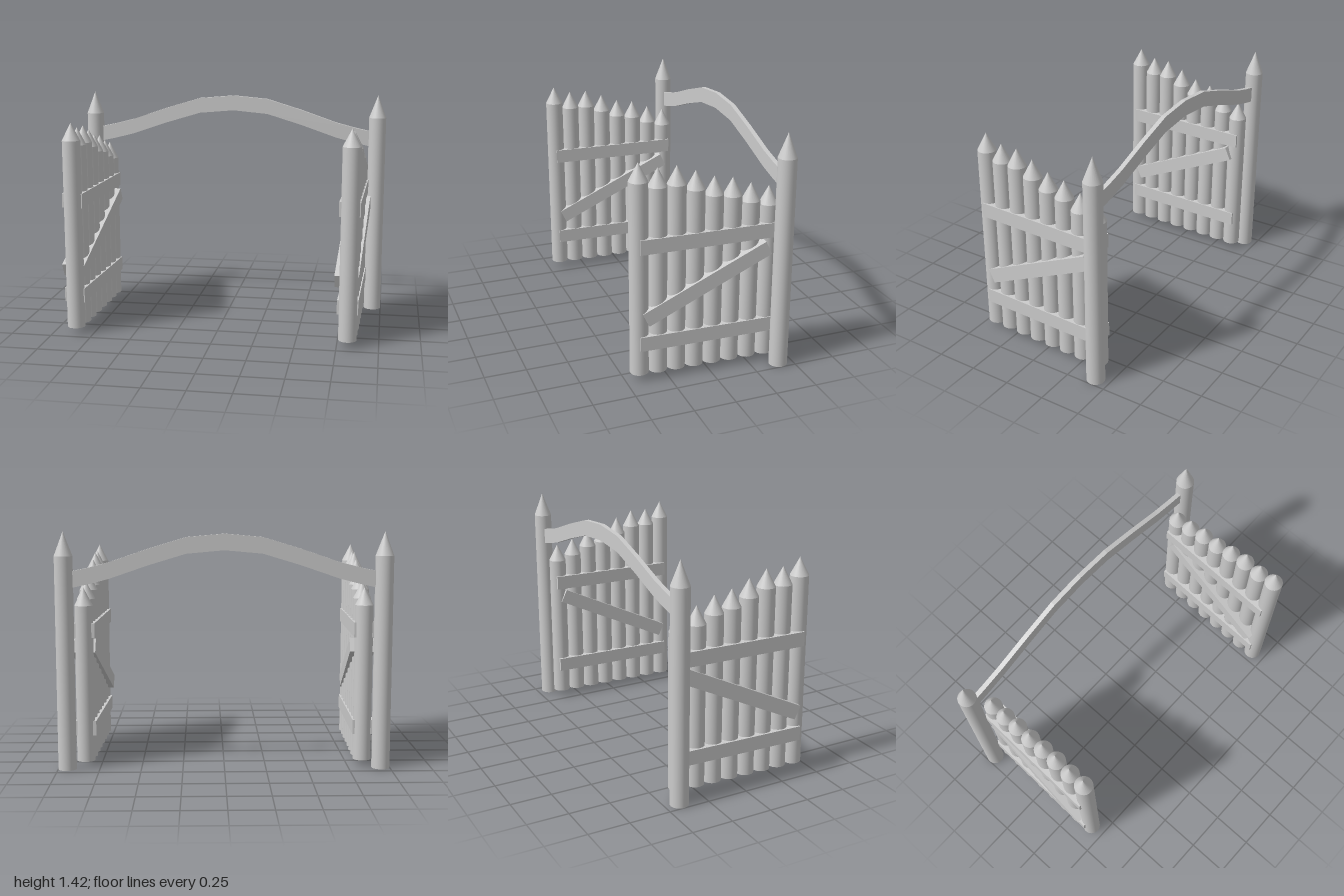
import * as THREE from 'three';

const material = new THREE.MeshStandardMaterial({ color: 0xcccccc });

function addMesh(parent, geometry, name) {
  const mesh = new THREE.Mesh(geometry, material);
  mesh.name = name;
  parent.add(mesh);
  return mesh;
}

// Round stake with a pointed top, standing on bottom
function addStake(parent, name, x, z, bottom, shoulder, tip) {
  const stake = new THREE.Group();
  stake.name = name;
  stake.position.set(x, 0, z);
  parent.add(stake);
  const radius = 0.055, sides = 24;
  const shaft = addMesh(stake, new THREE.CylinderGeometry(radius, radius, shoulder - bottom, sides), 'shaft');
  shaft.position.y = (shoulder + bottom) / 2;
  const point = addMesh(stake, new THREE.ConeGeometry(radius, tip - shoulder, sides, 1, true), 'point');
  point.position.y = (tip + shoulder) / 2;
}

// Rectangular board running from one end point to the other
function addBoard(parent, name, start, end, thickness, height) {
  const board = addMesh(parent, new THREE.BoxGeometry(thickness, height, start.distanceTo(end)), name);
  board.position.copy(start).add(end).multiplyScalar(0.5);
  board.lookAt(end);
}

// Open gate leaf: eight pickets, two rails and a diagonal brace
function createGate() {
  const gate = new THREE.Group();
  const tips = [1.31, 1.27, 1.27, 1.23, 1.185, 1.165, 1.12, 1.09];
  const lineX = (z) => -0.03 * z;
  tips.forEach((tip, i) => {
    const z = 0.412 - i * 0.1105;
    addStake(gate, 'picket', lineX(z), z, 0.042, tip - 0.106, tip);
  });
  for (const y of [0.243, 0.836]) {
    addBoard(gate, 'rail',
      new THREE.Vector3(lineX(-0.39) - 0.003, y, -0.39),
      new THREE.Vector3(lineX(0.42) - 0.003, y, 0.42), 0.127, 0.088);
  }
  addBoard(gate, 'brace',
    new THREE.Vector3(0.018, 0.74, -0.343),
    new THREE.Vector3(-0.025, 0.39, 0.385), 0.145, 0.088);
  return gate;
}

// Bowed plank between the posts
function createBeam() {
  const half = [[0, 1.41], [0.225, 1.39], [0.45, 1.322], [0.68, 1.243], [0.8, 1.212], [0.925, 1.185]];
  const top = [...half.slice(1).reverse().map(([x, y]) => [-x, y]), ...half];
  const bottom = top.map(([x, y]) => [x, y - 0.097]).reverse();
  const outline = [...top, ...bottom].map(([x, y]) => new THREE.Vector2(x, y));
  const geometry = new THREE.ExtrudeGeometry(new THREE.Shape(outline), { depth: 0.028, bevelEnabled: false });
  geometry.translate(0, 0, -0.426);
  return geometry;
}

export function createModel() {
  const model = new THREE.Group();
  model.name = 'palisadeGate';
  for (const [side, label] of [[-1, 'right'], [1, 'left']]) {
    addStake(model, label + 'Post', side * 0.945, -0.412, 0, 1.28, 1.425);
    // Both leaves lean the same way
    const gate = createGate();
    gate.name = label + 'Gate';
    gate.position.x = side * 0.837 - 0.011;
    model.add(gate);
  }
  addMesh(model, createBeam(), 'archBeam');
  return model;
}
